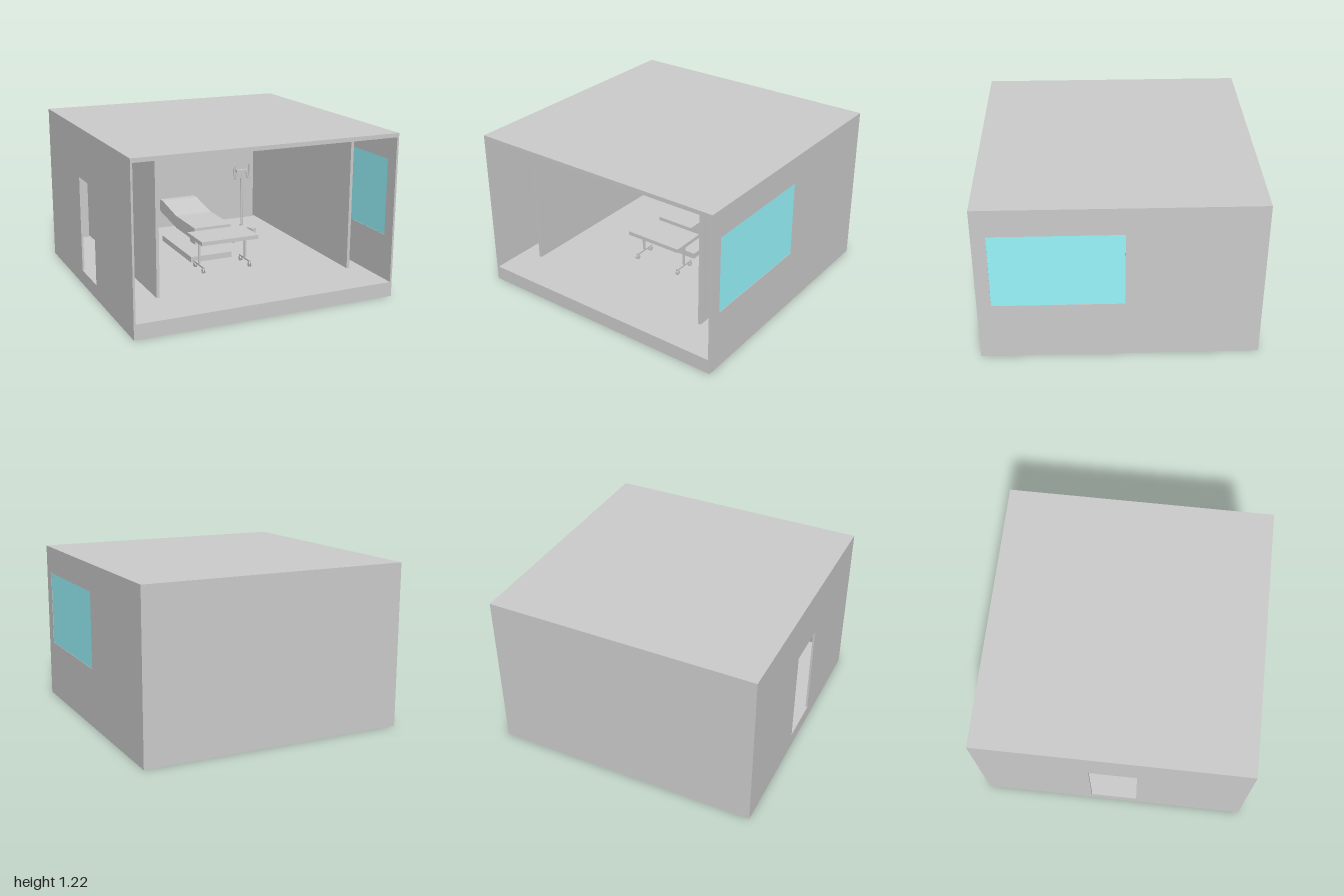
import * as THREE from 'three';

const grey = new THREE.MeshStandardMaterial({ color: 0xcccccc });
const blue = new THREE.MeshStandardMaterial({ color: 0x99f7ff });

function add(parent, name, geometry, x, y, z, material = grey) {
  const mesh = new THREE.Mesh(geometry, material);
  mesh.name = name;
  mesh.position.set(x, y, z);
  parent.add(mesh);
  return mesh;
}

// box given by its limits on each axis
function box(parent, name, [x0, x1], [y0, y1], [z0, z1], material = grey) {
  return add(parent, name, new THREE.BoxGeometry(x1 - x0, y1 - y0, z1 - z0),
    (x0 + x1) / 2, (y0 + y1) / 2, (z0 + z1) / 2, material);
}

function group(parent, name, x = 0, y = 0, z = 0, turn = 0) {
  const g = new THREE.Group();
  g.name = name;
  g.position.set(x, y, z);
  g.rotation.y = turn;
  parent.add(g);
  return g;
}

// outline of [a, b] points
function outline(points) {
  return new THREE.Shape(points.map(([a, b]) => new THREE.Vector2(a, b)));
}

// extrude a (z, y) outline across x, from x0 to x1
function acrossX(shape, x0, x1) {
  const geo = new THREE.ExtrudeGeometry(shape, { depth: x1 - x0, bevelEnabled: false });
  return geo.rotateY(-Math.PI / 2).translate(x1, 0, 0);
}

const rect = (z0, z1, y0, y1) => [[z0, y0], [z1, y0], [z1, y1], [z0, y1]];

// side wall with one rectangular opening
function sideWall(parent, name, x0, x1, opening) {
  const shape = outline(rect(-0.975, 0.99, 0.11, 1.19));
  shape.holes.push(new THREE.Path(rect(...opening).reverse().map(([a, b]) => new THREE.Vector2(a, b))));
  add(parent, name, acrossX(shape, x0, x1), 0, 0, 0);
}

// swivel wheel standing on y = 0, top at y = 0.05
function caster(parent, x, z) {
  const g = group(parent, 'caster', x, 0, z);
  for (const side of [-1, 1]) {
    add(g, 'wheel', new THREE.CylinderGeometry(0.018, 0.018, 0.006, 16).rotateZ(Math.PI / 2), side * 0.007, 0.018, 0);
  }
  add(g, 'casterStem', new THREE.CylinderGeometry(0.005, 0.005, 0.034, 10), 0, 0.035, 0);
}

function buildRoom(room) {
  box(room, 'floor', [-1, 1], [0, 0.11], [-0.99, 0.99]);
  box(room, 'ceiling', [-1, 1], [1.19, 1.22], [-0.99, 0.99]);
  box(room, 'backWall', [-1, 1], [0.11, 1.19], [-0.99, -0.975]);
  sideWall(room, 'wallWithDoorway', -1, -0.985, [-0.17, 0.18, 0.11, 0.84]);
  sideWall(room, 'wallWithWindow', 0.985, 1, [-0.035, 0.89, 0.445, 1.015]);
  box(room, 'windowPane', [0.988, 0.997], [0.445, 1.015], [-0.035, 0.89], blue);
  box(room, 'wallPanel', [-0.65, 0.64], [0.375, 0.98], [-0.975, -0.967]);
  // hanging partitions with a header strip under the ceiling
  for (const x of [-0.744, 0.759]) {
    box(room, 'partition', [x - 0.011, x + 0.011], [0.18, 1.05], [-0.8, 0.77]);
    box(room, 'partitionHeader', [x - 0.011, x + 0.011], [1.05, 1.19], [-0.8, 0.77]);
  }
}

// rolling tray table in front of the bed
function buildTrayTable(root) {
  const table = group(root, 'trayTable', 0.008, 0.11, 0.18);
  box(table, 'tableTop', [-0.233, 0.233], [0.235, 0.265], [-0.14, 0.14]);
  for (const x of [-0.195, 0.19]) {
    box(table, 'tableLeg', [x - 0.008, x + 0.008], [0.045, 0.235], [-0.008, 0.008]);
    box(table, 'tableFoot', [x - 0.008, x + 0.008], [0.038, 0.052], [-0.09, 0.09]);
    for (const z of [-0.08, 0.08]) caster(table, x, z);
  }
}

// pedestal bed with a gently raised head end
function buildBed(root) {
  const bed = group(root, 'bed', -0.003);
  const side = outline([[0.02, 0.29], [0.02, 0.39], [-0.36, 0.39], [-0.66, 0.44], [-0.72, 0.44], [-0.72, 0.34], [-0.36, 0.29]]);
  add(bed, 'mattress', acrossX(side, -0.153, 0.153), 0, 0, 0);
  box(bed, 'pedestal', [-0.026, 0.026], [0.155, 0.3], [-0.38, -0.28]);
  box(bed, 'bedBase', [-0.175, 0.17], [0.11, 0.155], [-0.62, 0]);
}

// machine cart with a sloping console, turned towards the bed
function buildCart(root) {
  const cart = group(root, 'machineCart', -0.465, 0.11, -0.78, 0.35);
  box(cart, 'cartBase', [-0.1, 0.1], [0, 0.03], [-0.095, 0.095]);
  box(cart, 'cartColumn', [-0.045, 0.045], [0.03, 0.33], [-0.05, 0.04]);
  box(cart, 'cartShelf', [-0.07, 0.07], [0.163, 0.19], [-0.06, 0.08]);
  const side = outline([[0.095, 0.315], [0.095, 0.345], [0.035, 0.395], [-0.095, 0.395], [-0.095, 0.315]]);
  add(cart, 'console', acrossX(side, -0.1, 0.1), 0, 0, 0);
}

// wheeled stand with two hooks on a crossbar
function buildStand(root) {
  const stand = group(root, 'hookStand', 0.455, 0.11, -0.42);
  const base = group(stand, 'standBase', -0.03, 0, 0, 0.2);
  box(base, 'baseBar', [-0.1, 0.1], [0.05, 0.09], [-0.025, 0.025]);
  for (const x of [-0.1, 0.1]) {
    box(base, 'baseFoot', [x - 0.018, x + 0.018], [0.05, 0.09], [-0.09, 0.09]);
    for (const z of [-0.072, 0.072]) caster(base, x, z);
  }
  add(stand, 'pole', new THREE.CylinderGeometry(0.008, 0.008, 0.51, 16), 0, 0.335, 0);
  box(stand, 'crossbar', [-0.05, 0.045], [0.572, 0.592], [-0.012, 0.012]);
  for (const side of [-1, 1]) {
    const curve = new THREE.CatmullRomCurve3([[0.036, 0.585], [0.045, 0.55], [0.053, 0.52], [0.063, 0.525], [0.066, 0.57], [0.066, 0.635]]
      .map(([x, y]) => new THREE.Vector3(side * x, y, 0)));
    add(stand, 'hook', new THREE.TubeGeometry(curve, 24, 0.007, 8), 0, 0, 0);
    add(stand, 'hookTip', new THREE.SphereGeometry(0.007, 10, 8), side * 0.066, 0.635, 0);
  }
}

export function createModel() {
  const root = new THREE.Group();
  root.name = 'treatmentRoom';
  buildRoom(group(root, 'room'));
  buildTrayTable(root);
  buildBed(root);
  buildCart(root);
  buildStand(root);
  return root;
}
